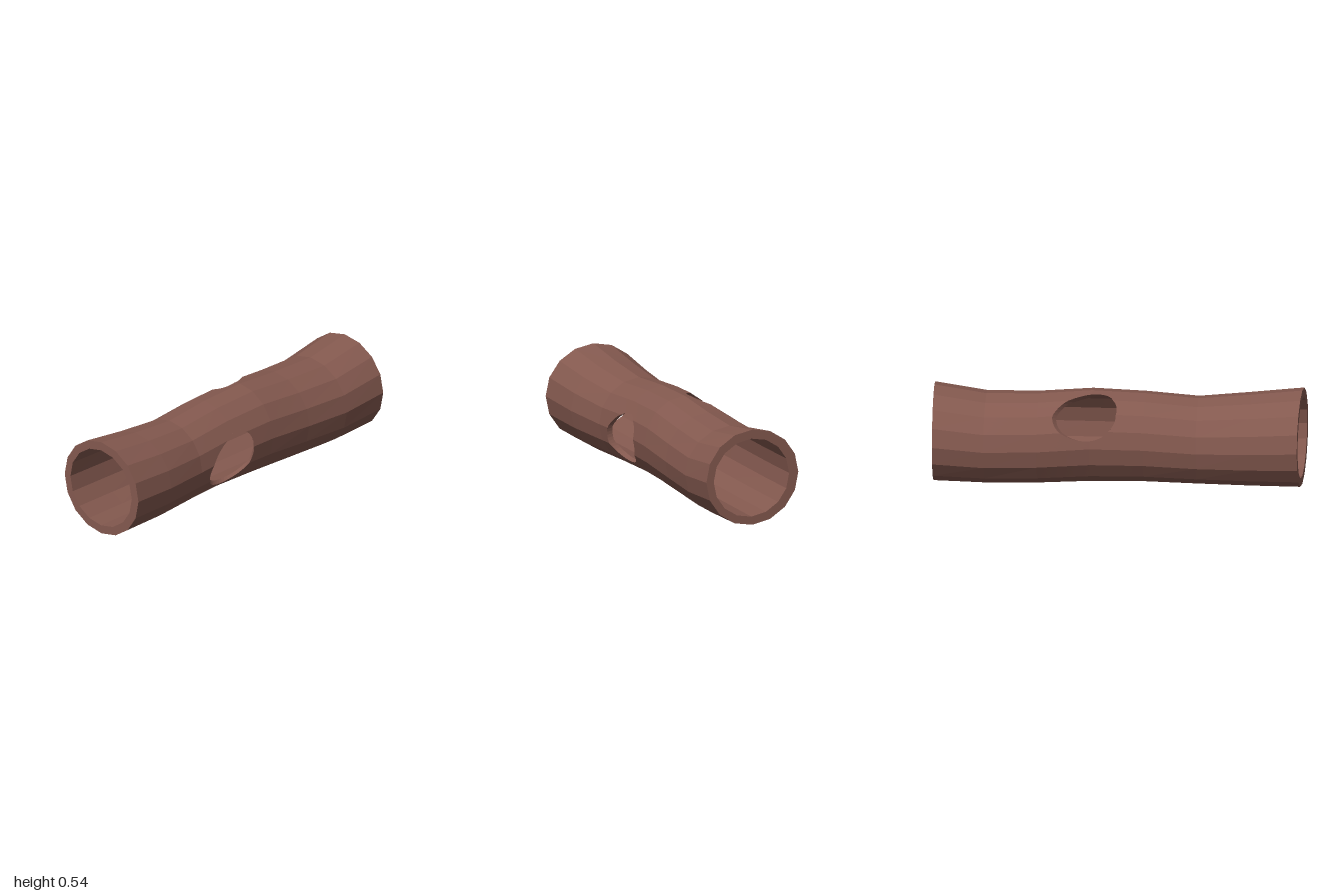
import * as THREE from 'three';

const SIDES = 16, RINGS = 8;
// Bounds of each ring from the front end to the back end
const OUTER = {
  left: [-0.265, -0.25, -0.236, -0.24, -0.245, -0.265, -0.275, -0.29],
  right: [0.29, 0.272, 0.237, 0.23, 0.235, 0.24, 0.255, 0.26],
  low: [0.012, 0.012, 0.018, 0.025, 0.02, 0.008, 0.002, 0.01],
  high: [0.545, 0.515, 0.491, 0.515, 0.525, 0.502, 0.495, 0.54],
};
const INNER = {
  left: [-0.222, -0.224, -0.224, -0.226, -0.228, -0.23, -0.232, -0.235],
  right: [0.24, 0.228, 0.212, 0.212, 0.212, 0.212, 0.213, 0.216],
  low: [0.058, 0.056, 0.054, 0.053, 0.053, 0.053, 0.054, 0.056],
  high: [0.497, 0.49, 0.484, 0.485, 0.486, 0.486, 0.485, 0.49],
};

// Slanted round drill that makes the two side holes
const HOLE_R = 0.134;
const holeA = new THREE.Vector3(-0.17, 0.43, -0.165);
const holeB = new THREE.Vector3(0.22, 0.224, 0.172);
const axis = holeB.clone().sub(holeA).normalize();
const middle = holeA.clone().add(holeB).multiplyScalar(0.5);
const outsideDrill = (p) => p.clone().sub(middle).cross(axis).length() - HOLE_R;

// Centre and radii of a shell at a fractional ring index
function section(shell, k) {
  const i = Math.min(Math.floor(k), RINGS - 2), t = k - i;
  const at = (list) => list[i] + (list[i + 1] - list[i]) * t;
  const l = at(shell.left), r = at(shell.right), b = at(shell.low), h = at(shell.high);
  return { cx: (l + r) / 2, cy: (b + h) / 2, rx: (r - l) / 2, ry: (h - b) / 2 };
}

function ringPoint(shell, i, k) {
  const s = section(shell, k), a = (i / SIDES) * Math.PI * 2;
  const x = s.cx + s.rx * Math.cos(a);
  let z = 1 - (2 * k) / (RINGS - 1);
  // Ends are cut slightly askew
  if (k === 0) z += -0.012 + 0.042 * x;
  if (k === RINGS - 1) z += 0.005 - 0.02 * x;
  return new THREE.Vector3(x, s.cy + s.ry * Math.sin(a), z);
}

// Drop the part of a triangle that lies in the drill
function addClipped(out, tri) {
  const poly = [];
  tri.forEach((p, i) => {
    const q = tri[(i + 1) % 3], fp = outsideDrill(p), fq = outsideDrill(q);
    if (fp >= 0) poly.push(p);
    if (fp >= 0 !== fq >= 0) poly.push(p.clone().lerp(q, fp / (fp - fq)));
  });
  for (let i = 1; i + 1 < poly.length; i++) out.push(poly[0], poly[i], poly[i + 1]);
}

// Faceted tube, divided finely only around the holes
function shellPoints(shell, inward) {
  const out = [];
  for (let k = 0; k < RINGS - 1; k++) {
    for (let i = 0; i < SIDES; i++) {
      const [a, b, c, d] = [[i, k], [i + 1, k], [i + 1, k + 1], [i, k + 1]]
        .map(([u, v]) => ringPoint(shell, u, v));
      const centre = a.clone().add(c).multiplyScalar(0.5);
      const n = outsideDrill(centre) < 0.2 ? 10 : 1;
      const at = (u, v) => a.clone().lerp(b, u / n).lerp(d.clone().lerp(c, u / n), v / n);
      for (let u = 0; u < n; u++) {
        for (let v = 0; v < n; v++) {
          const q = [at(u, v), at(u, v + 1), at(u + 1, v + 1), at(u + 1, v)];
          if (inward) q.reverse();
          addClipped(out, [q[0], q[1], q[2]]);
          addClipped(out, [q[0], q[2], q[3]]);
        }
      }
    }
  }
  return out;
}

// Flat rings closing both ends of the wall
function endPoints() {
  const out = [];
  for (const k of [0, RINGS - 1]) {
    for (let i = 0; i < SIDES; i++) {
      const q = [ringPoint(OUTER, i, k), ringPoint(OUTER, i + 1, k),
        ringPoint(INNER, i + 1, k), ringPoint(INNER, i, k)];
      if (k > 0) q.reverse();
      out.push(q[0], q[1], q[2], q[0], q[2], q[3]);
    }
  }
  return out;
}

function isInside(shell, p) {
  const s = section(shell, ((1 - p.z) * (RINGS - 1)) / 2);
  const u = (p.x - s.cx) / s.rx, v = (p.y - s.cy) / s.ry;
  const step = (Math.PI * 2) / SIDES;
  const a = (Math.atan2(v, u) + Math.PI * 2) % step;
  return Math.hypot(u, v) < Math.cos(step / 2) / Math.cos(a - step / 2);
}

// Thickness of the wall seen around one hole
function holeRimPoints(direction) {
  const side = new THREE.Vector3(0, 1, 0).cross(axis).normalize();
  const up = axis.clone().cross(side);
  const mouth = (shell, angle) => {
    const start = middle.clone()
      .addScaledVector(side, HOLE_R * Math.cos(angle))
      .addScaledVector(up, HOLE_R * Math.sin(angle));
    let near = 0, far = 0.6;
    for (let i = 0; i < 30; i++) {
      const t = (near + far) / 2;
      if (isInside(shell, start.clone().addScaledVector(axis, direction * t))) near = t;
      else far = t;
    }
    return start.addScaledVector(axis, direction * near);
  };
  const out = [], n = 48;
  for (let i = 0; i < n; i++) {
    const a = (i / n) * Math.PI * 2, b = ((i + 1) / n) * Math.PI * 2;
    const q = [mouth(OUTER, a), mouth(OUTER, b), mouth(INNER, b), mouth(INNER, a)];
    out.push(q[0], q[1], q[2], q[0], q[2], q[3]);
  }
  return out;
}

export function createModel() {
  const log = new THREE.Group();
  log.name = 'hollowLog';
  const wood = new THREE.MeshStandardMaterial({ color: 0x84594f, flatShading: true });
  const thinWood = wood.clone();
  thinWood.side = THREE.DoubleSide;

  const addPart = (name, points, material) => {
    const geometry = new THREE.BufferGeometry().setFromPoints(points);
    geometry.computeVertexNormals();
    const mesh = new THREE.Mesh(geometry, material);
    mesh.name = name;
    log.add(mesh);
  };

  addPart('outerBark', shellPoints(OUTER, false), wood);
  addPart('innerWall', shellPoints(INNER, true), wood);
  addPart('endRims', endPoints(), wood);
  addPart('leftHoleRim', holeRimPoints(1), thinWood);
  addPart('rightHoleRim', holeRimPoints(-1), thinWood);
  return log;
}
